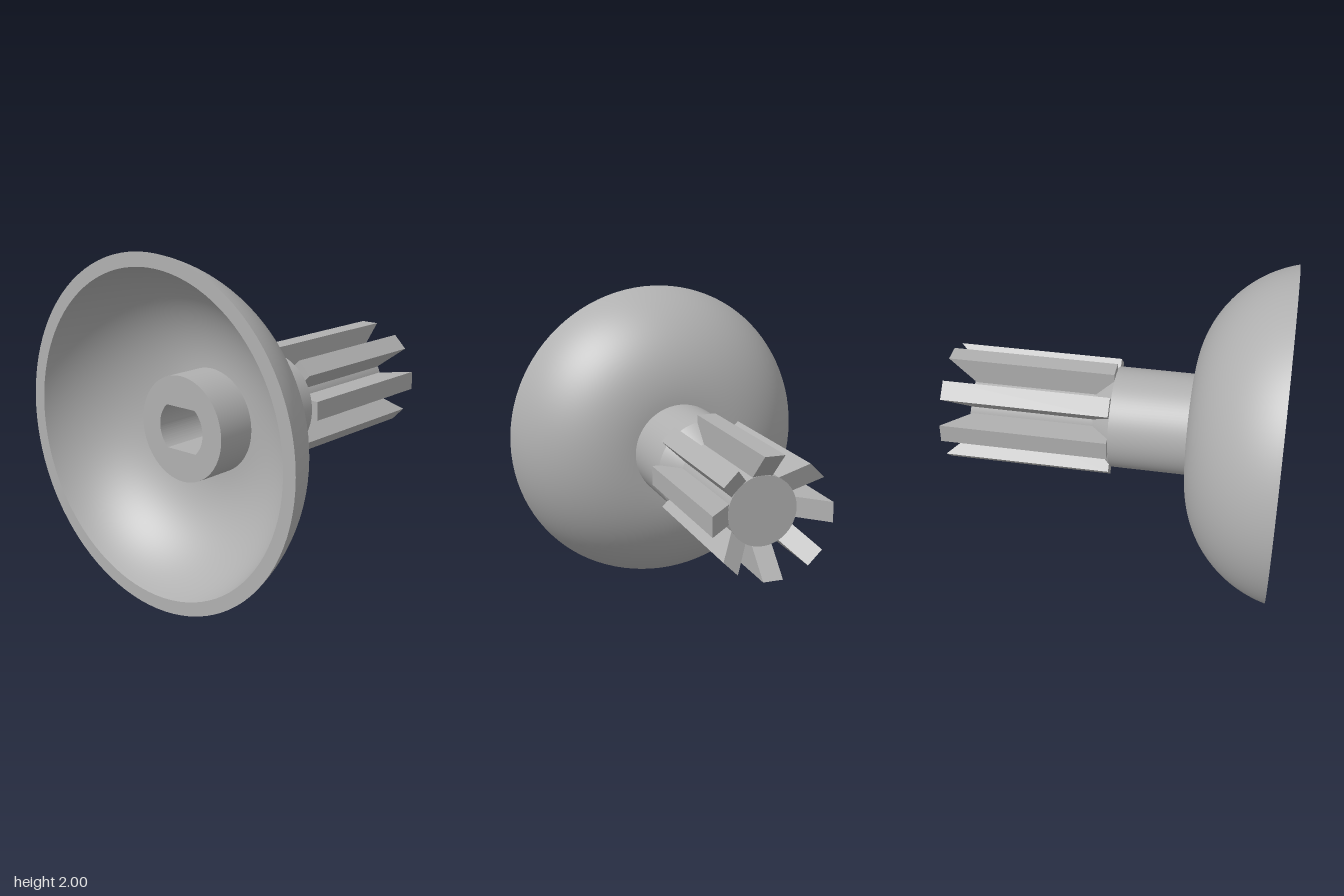
import * as THREE from 'three';
import { toCreasedNormals } from 'three/addons/utils/BufferGeometryUtils.js';

const FIN_COUNT = 8, FIN_WIDTH = 0.115, FIN_RADIUS = 0.345;
const CORE_RADIUS = 0.2, SHAFT_RADIUS = 0.305;

// Points (radius, z) along a quarter-like arc of the bowl, from the hub to the rim at z = 1
function bowlArc(radius) {
  const centreR = 0.31, centreZ = 1.171, steps = 28;
  const end = Math.acos((centreZ - 1) / radius);
  return Array.from({ length: steps + 1 }, (_, i) => {
    const a = (end * i) / steps;
    return new THREE.Vector2(centreR + radius * Math.sin(a), centreZ - radius * Math.cos(a));
  });
}

// Lathe around the z axis with sharp corners kept
function turned(points) {
  const geometry = new THREE.LatheGeometry(points, 96);
  geometry.rotateX(Math.PI / 2);
  return toCreasedNormals(geometry, 0.5);
}

// Double-D outline of the socket
function doubleD(radius, halfHeight) {
  const a = Math.asin(halfHeight / radius);
  const path = new THREE.Shape();
  path.absarc(0, 0, radius, -a, a, false);
  path.absarc(0, 0, radius, Math.PI - a, Math.PI + a, false);
  path.closePath();
  return path;
}

export function createModel() {
  const group = new THREE.Group();
  const grey = new THREE.MeshStandardMaterial({ color: 0xb0b0b0 });
  grey.name = 'grey';

  const body = new THREE.Group();
  body.name = 'body';
  body.position.y = 1;
  group.add(body);

  const add = (name, geometry, parent = body) => {
    const mesh = new THREE.Mesh(geometry, grey);
    mesh.name = name;
    parent.add(mesh);
    return mesh;
  };

  // Hollow bowl with a thick rim
  add('bowl', turned([
    new THREE.Vector2(0.29, 0.46),
    ...bowlArc(0.711),
    ...bowlArc(0.634).reverse(),
    new THREE.Vector2(0.29, 0.537),
  ]));

  // Shaft flaring down to the narrow finned core
  add('shaft', turned([
    [0, -0.85], [CORE_RADIUS, -0.85], [CORE_RADIUS, -0.11], [SHAFT_RADIUS, 0], [SHAFT_RADIUS, 0.5],
  ].map(([r, z]) => new THREE.Vector2(r, z))));

  // Collar inside the bowl with a double-D socket
  const socketZ = 0.02;
  const collar = new THREE.Shape().absarc(0, 0, SHAFT_RADIUS - 0.001, 0, Math.PI * 2, false);
  collar.holes.push(doubleD(0.165, 0.125));
  const collarGeometry = new THREE.ExtrudeGeometry(collar, {
    depth: 0.78 - socketZ, bevelEnabled: false, curveSegments: 48,
  });
  add('collar', toCreasedNormals(collarGeometry, 0.5)).position.z = socketZ;
  add('socketFloor', new THREE.CircleGeometry(0.2, 32)).position.z = socketZ + 0.005;

  // Radial fins, cut back at an angle around the end of the core
  const profile = new THREE.Shape([
    [0.1, 0], [FIN_RADIUS, 0], [FIN_RADIUS, -1], [0.19, -0.84], [0.1, -0.84],
  ].map(([r, z]) => new THREE.Vector2(r, z)));
  const finGeometry = new THREE.ExtrudeGeometry(profile, { depth: FIN_WIDTH, bevelEnabled: false });
  finGeometry.translate(0, 0, -FIN_WIDTH / 2);
  finGeometry.rotateX(Math.PI / 2);
  const fins = new THREE.Group();
  fins.name = 'fins';
  body.add(fins);
  for (let i = 0; i < FIN_COUNT; i++) {
    add('fin', finGeometry, fins).rotation.z = (i * Math.PI * 2) / FIN_COUNT;
  }

  return group;
}
